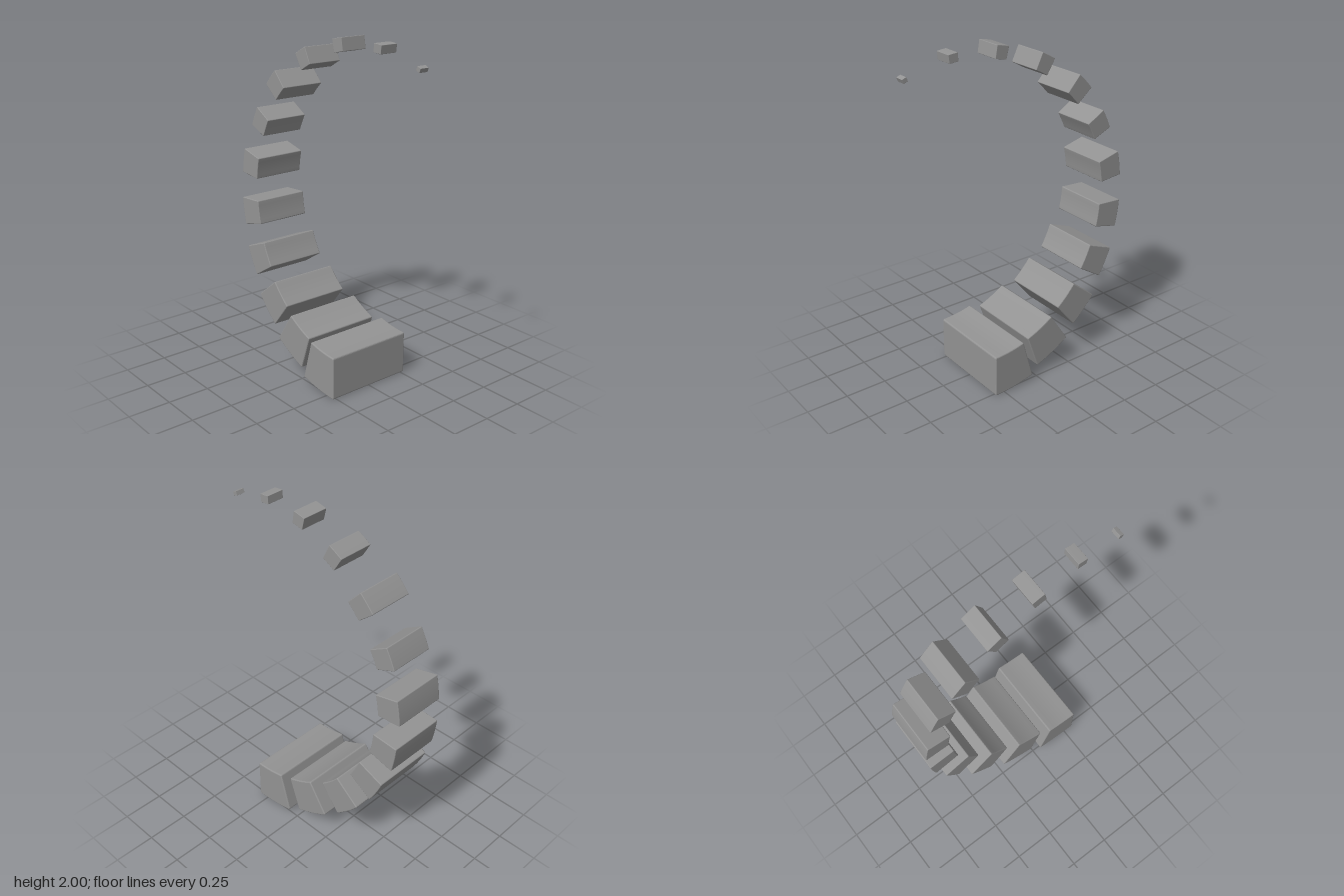
import * as THREE from 'three';
import { toCreasedNormals } from 'three/addons/utils/BufferGeometryUtils.js';

const CENTRE_X = 0.315, CENTRE_Y = 1.01;

// One row per block: start angle, end angle (degrees, clockwise from straight down),
// inner radius, outer radius, half depth
const BLOCKS = [
  [0, 15.6, 0.751, 1.009, 0.272],
  [19.1, 33.6, 0.774, 1.0, 0.245],
  [38.8, 51.2, 0.798, 1.002, 0.217],
  [58.0, 68.8, 0.821, 1.003, 0.190],
  [76.4, 86.2, 0.845, 1.010, 0.172],
  [95.1, 103.9, 0.866, 1.018, 0.162],
  [112.9, 120.3, 0.890, 1.019, 0.137],
  [130.4, 137.5, 0.901, 1.027, 0.137],
  [148.3, 153.9, 0.916, 1.019, 0.108],
  [166.0, 170.5, 0.931, 1.006, 0.081],
  [183.6, 187.0, 0.938, 0.986, 0.054],
  [201.5, 203.1, 0.943, 0.968, 0.028],
];

const polar = (r, t) => [CENTRE_X - r * Math.sin(t), CENTRE_Y - r * Math.cos(t)];

// Ring sector with softened corners, bevelled through its depth
function blockGeometry(startDeg, endDeg, inner, outer, halfDepth) {
  const a = THREE.MathUtils.degToRad(startDeg), b = THREE.MathUtils.degToRad(endDeg);
  const bevel = (outer - inner) * 0.03, c = bevel * 1.5;
  const co = c / outer, ci = c / inner;
  const bulge = (r, trim) => r / Math.cos((b - a) / 2 - trim);
  const mid = (a + b) / 2;

  const s = new THREE.Shape();
  s.moveTo(...polar(outer, a + co));
  s.quadraticCurveTo(...polar(bulge(outer, co), mid), ...polar(outer, b - co));
  s.quadraticCurveTo(...polar(outer, b), ...polar(outer - c, b));
  s.lineTo(...polar(inner + c, b));
  s.quadraticCurveTo(...polar(inner, b), ...polar(inner, b - ci));
  s.quadraticCurveTo(...polar(bulge(inner, ci), mid), ...polar(inner, a + ci));
  s.quadraticCurveTo(...polar(inner, a), ...polar(inner + c, a));
  s.lineTo(...polar(outer - c, a));
  s.quadraticCurveTo(...polar(outer, a), ...polar(outer, a + co));

  const geometry = new THREE.ExtrudeGeometry(s, {
    depth: 2 * (halfDepth - bevel),
    curveSegments: 6,
    bevelThickness: bevel,
    bevelSize: bevel,
    bevelOffset: -bevel,
    bevelSegments: 3,
  });
  geometry.translate(0, 0, bevel - halfDepth);
  // A tight crease keeps the broad faces evenly shaded
  return toCreasedNormals(geometry, 0.08);
}

export function createModel() {
  const group = new THREE.Group();
  group.name = 'taperingBlockArc';
  const material = new THREE.MeshStandardMaterial({ color: 0x939393 });

  // Blocks shrink from the base round to the tip
  BLOCKS.forEach((row, i) => {
    const block = new THREE.Mesh(blockGeometry(...row), material);
    block.name = i === 0 ? 'baseBlock' : i === BLOCKS.length - 1 ? 'tipBlock' : `arcBlock${i + 1}`;
    group.add(block);
  });
  return group;
}
